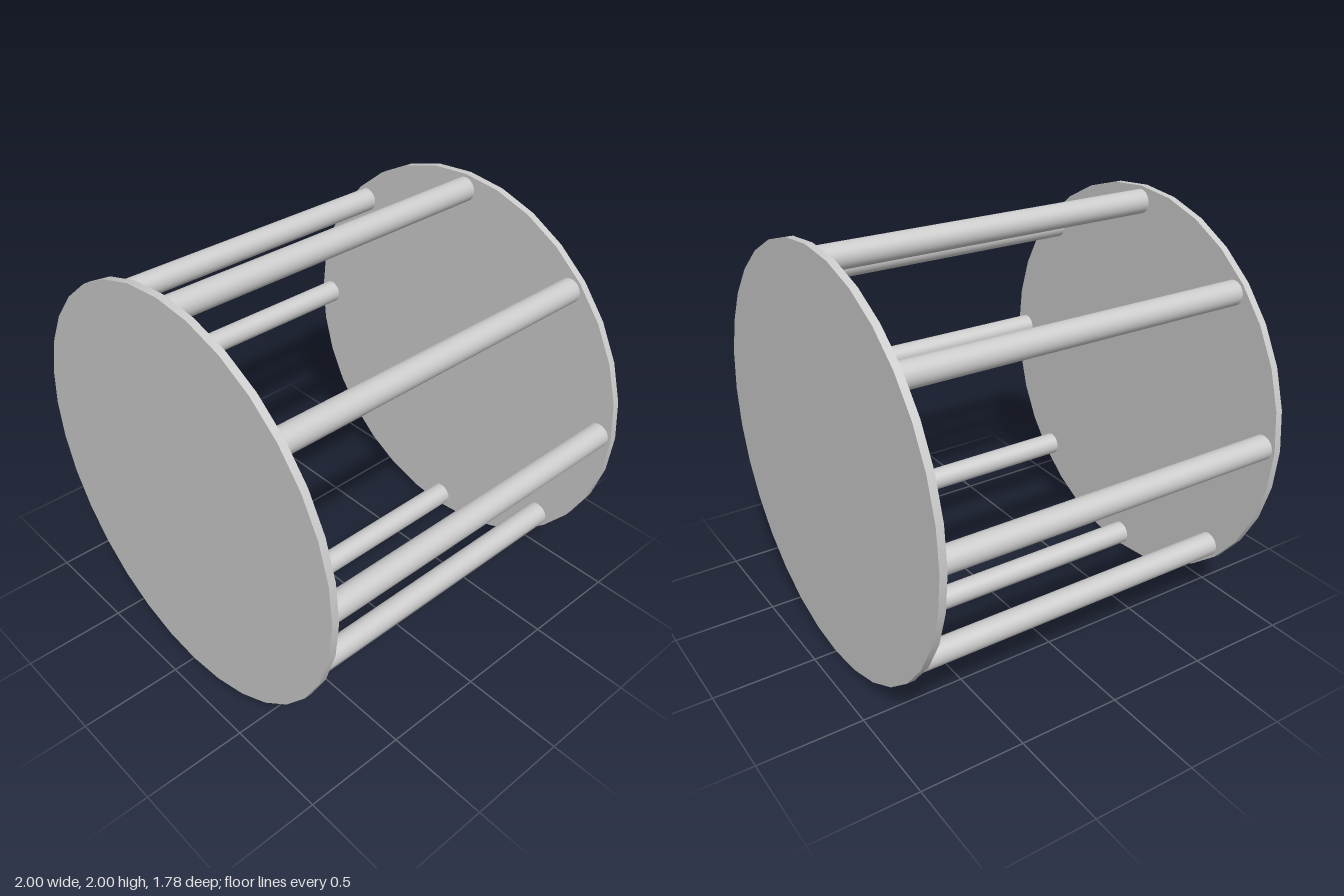
import * as THREE from 'three';

const SIDES = 32;
const PLATE_R = 1, PLATE_T = 0.035, HALF_DEPTH = 0.888;
const ROD_R = 0.058, ROD_RING = 0.926, ROD_COUNT = 8;

export function createModel() {
  const model = new THREE.Group();
  model.name = 'rodCage';
  const material = new THREE.MeshStandardMaterial({ color: 0xcccccc });

  // Cylinder lying along z
  const alongZ = (radius, length) =>
    new THREE.CylinderGeometry(radius, radius, length, SIDES).rotateX(Math.PI / 2);

  const add = (name, geometry, x, y, z) => {
    const mesh = new THREE.Mesh(geometry, material);
    mesh.name = name;
    mesh.position.set(x, y, z);
    model.add(mesh);
  };

  // Round end plates
  const plate = alongZ(PLATE_R, PLATE_T);
  add('frontPlate', plate, 0, PLATE_R, HALF_DEPTH - PLATE_T / 2);
  add('backPlate', plate, 0, PLATE_R, -HALF_DEPTH + PLATE_T / 2);

  // Ring of rods joining the plates
  const rod = alongZ(ROD_R, 2 * (HALF_DEPTH - PLATE_T));
  for (let i = 0; i < ROD_COUNT; i++) {
    const a = (i / ROD_COUNT) * Math.PI * 2;
    add(`rod${i + 1}`, rod, ROD_RING * Math.cos(a), PLATE_R + ROD_RING * Math.sin(a), 0);
  }

  return model;
}
